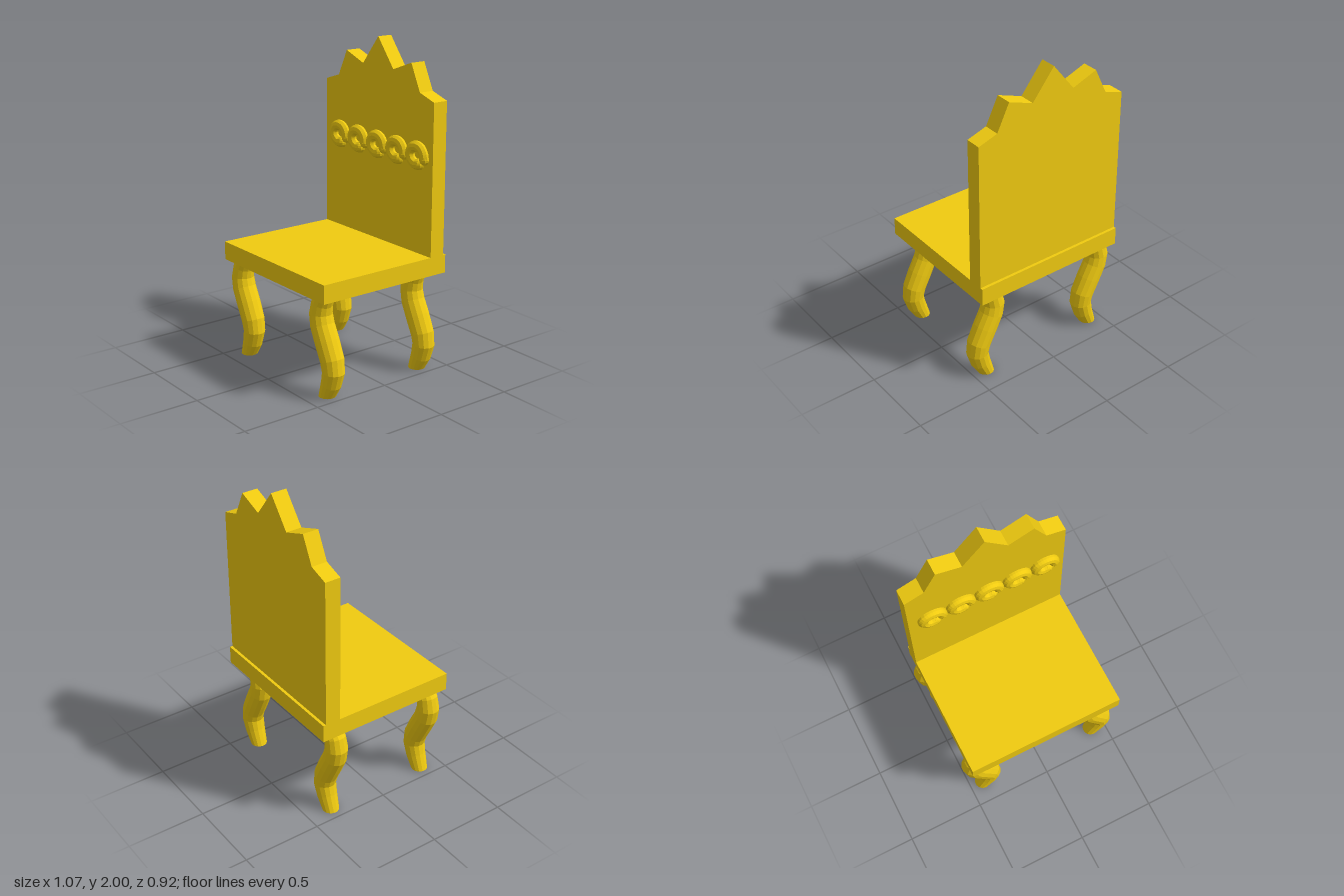
import * as THREE from 'three';

const gold = new THREE.MeshStandardMaterial({ color: 0xf0cb10, flatShading: true });

function part(name, geometry, parent, x = 0, y = 0, z = 0) {
  const mesh = new THREE.Mesh(geometry, gold);
  mesh.name = name;
  mesh.position.set(x, y, z);
  parent.add(mesh);
  return mesh;
}

// S-curved leg: a cylinder whose rows follow [x, y, radius] stations
function legGeometry() {
  const rows = [
    [0, 0, 0.052], [0.038, 0.09, 0.062], [0.06, 0.17, 0.068],
    [0.048, 0.24, 0.072], [0.0, 0.34, 0.074], [-0.045, 0.43, 0.073],
    [-0.06, 0.5, 0.07], [-0.046, 0.57, 0.065], [-0.01, 0.64, 0.06],
  ];
  const last = rows.length - 1;
  const geo = new THREE.CylinderGeometry(1, 1, 1, 14, last);
  const pos = geo.attributes.position;
  for (let i = 0; i < pos.count; i++) {
    const k = Math.round((pos.getY(i) + 0.5) * last);
    const [cx, cy, r] = rows[k];
    // Rows lie square to the path; the two ends stay level
    let tilt = 0;
    if (k > 0 && k < last) {
      tilt = Math.atan2(rows[k + 1][0] - rows[k - 1][0], rows[k + 1][1] - rows[k - 1][1]);
    }
    const d = pos.getX(i) * r;
    pos.setXYZ(i, cx + d * Math.cos(tilt), cy - d * Math.sin(tilt), pos.getZ(i) * r);
  }
  geo.computeVertexNormals();
  return geo;
}

// Backrest panel with a jagged crown, mirrored about the middle
function backGeometry() {
  const right = [[0.51, 0.73], [0.51, 1.675], [0.385, 1.715], [0.305, 1.88], [0.143, 1.82]];
  const left = right.map(([x, y]) => [-x, y]).reverse();
  const outline = [...right, [0, 2], ...left].map(([x, y]) => new THREE.Vector2(x, y));
  return new THREE.ExtrudeGeometry(new THREE.Shape(outline), { depth: 0.1, bevelEnabled: false });
}

export function createModel() {
  const model = new THREE.Group();
  model.name = 'chair';

  part('seat', new THREE.BoxGeometry(1.02, 0.115, 0.915), model, 0, 0.6775, 0.0025);
  part('backrest', backGeometry(), model, 0, 0, -0.437);

  // Four identical legs
  const leg = legGeometry();
  for (const [z, end] of [[0.358, 'front'], [-0.335, 'back']]) {
    part(end + 'RightLeg', leg, model, -0.41, 0, z);
    part(end + 'LeftLeg', leg, model, 0.405, 0, z);
  }

  // Row of open curls across the backrest
  const radius = 0.034;
  const points = [
    [0.024, -0.054], [-0.01, -0.056], [-0.046, -0.032], [-0.056, 0.005],
    [-0.038, 0.04], [0.002, 0.052], [0.042, 0.04], [0.064, 0.008], [0.068, -0.018],
  ].map(([x, y]) => new THREE.Vector3(x, y, 0));
  const curl = new THREE.TubeGeometry(new THREE.CatmullRomCurve3(points), 24, radius, 10);
  const tip = new THREE.SphereGeometry(radius, 10, 8);
  for (let i = 0; i < 5; i++) {
    const group = new THREE.Group();
    group.name = 'curl' + (i + 1);
    group.position.set(-0.365 + i * 0.185, 1.343, -0.333);
    part('curlTube', curl, group);
    for (const p of [points[0], points[points.length - 1]]) part('curlTip', tip, group, p.x, p.y);
    model.add(group);
  }
  return model;
}
